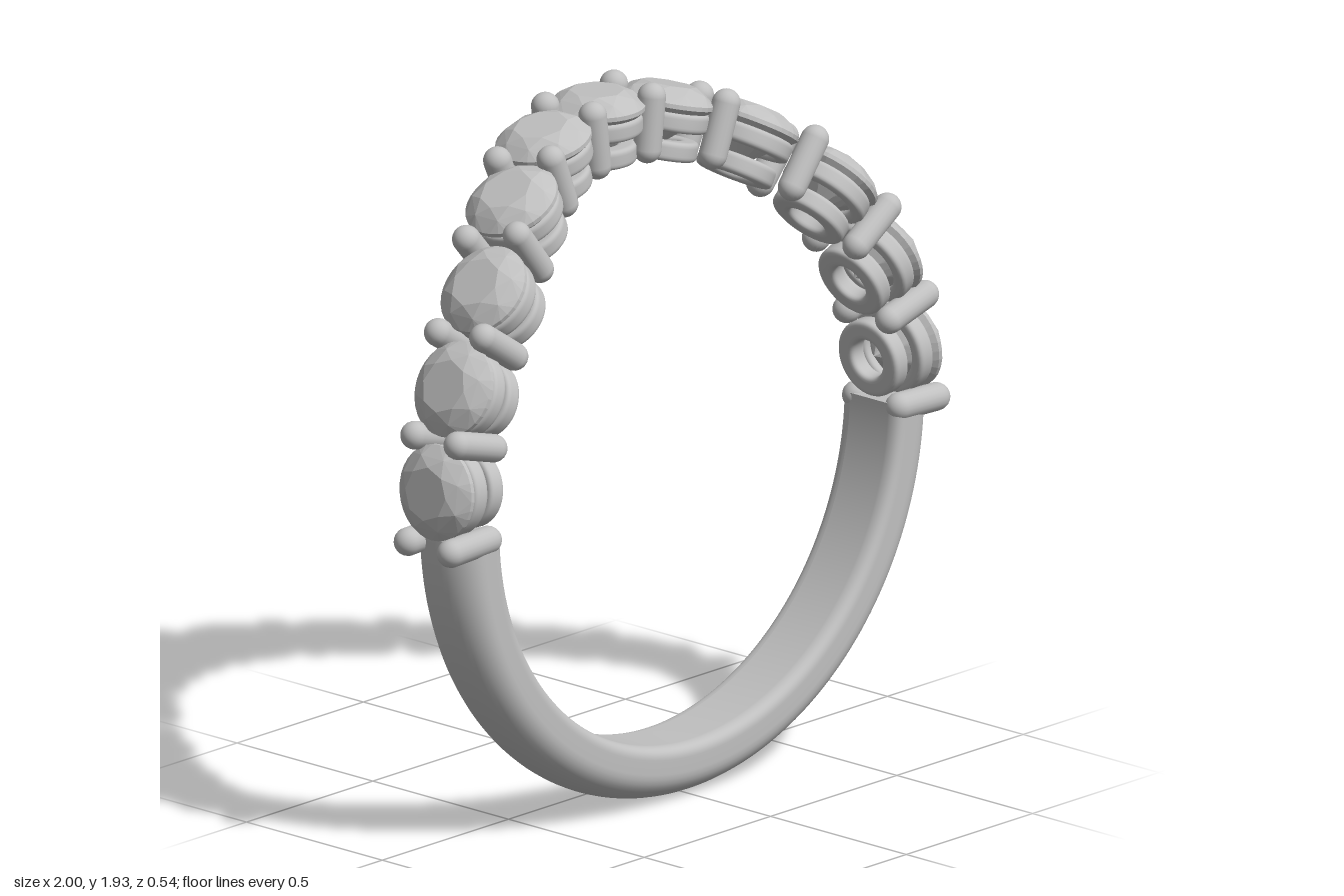
import * as THREE from 'three';
import { ConvexGeometry } from 'three/addons/geometries/ConvexGeometry.js';

const CENTER_Y = 0.94;
const rad = THREE.MathUtils.degToRad;

// Angles from the top of the ring and depths of the stones on one half
const STONES = [[0, -0.14], [15.1, -0.11], [30.7, -0.01], [48.1, 0.09], [65.6, 0.125], [83, 0.133]];
const LAST_PRONG = [92, 0.137];

// Rounded rectangle turned into a flat ring around y
function collarGeometry(inner, outer, height) {
  const h = height / 2, c = 0.016, s = new THREE.Shape();
  s.moveTo(inner + c, -h);
  s.lineTo(outer - c, -h);
  s.quadraticCurveTo(outer, -h, outer, -h + c);
  s.lineTo(outer, h - c);
  s.quadraticCurveTo(outer, h, outer - c, h);
  s.lineTo(inner + c, h);
  s.quadraticCurveTo(inner, h, inner, h - c);
  s.lineTo(inner, -h + c);
  s.quadraticCurveTo(inner, -h, inner + c, -h);
  return new THREE.LatheGeometry(s.getPoints(5), 40);
}

// Brilliant cut: table, crown corners, girdle and point
function stoneGeometry() {
  const pts = [];
  const loop = (n, r, y, shift) => {
    for (let i = 0; i < n; i++) {
      const a = ((i + shift) / n) * Math.PI * 2;
      pts.push(new THREE.Vector3(Math.cos(a) * r, y, Math.sin(a) * r));
    }
  };
  loop(8, 0.074, 0.045, 0);
  loop(8, 0.107, 0.029, 0.5);
  loop(32, 0.132, 0.004, 0);
  loop(32, 0.132, -0.008, 0);
  loop(8, 0.06, -0.075, 0.5);
  pts.push(new THREE.Vector3(0, -0.125, 0));
  return new ConvexGeometry(pts);
}

// Domed band section: x is the distance from the finger axis, y the width
function bandShape() {
  const w = 0.108, s = new THREE.Shape();
  s.moveTo(0.78, -0.07);
  s.quadraticCurveTo(0.782, -w, 0.815, -w);
  s.lineTo(0.855, -w);
  s.bezierCurveTo(0.905, -w, 0.938, -0.055, 0.938, 0);
  s.bezierCurveTo(0.938, 0.055, 0.905, w, 0.855, w);
  s.lineTo(0.815, w);
  s.quadraticCurveTo(0.782, w, 0.78, 0.07);
  s.lineTo(0.78, -0.07);
  return s;
}

export function createModel() {
  const model = new THREE.Group();
  const metal = new THREE.MeshStandardMaterial({ color: 0xc0c0c0, side: THREE.DoubleSide });

  const add = (parent, geometry, name) => {
    const mesh = new THREE.Mesh(geometry, metal);
    mesh.name = name;
    parent.add(mesh);
    return mesh;
  };

  // Plain lower half of the band with closed ends
  const band = new THREE.Group();
  band.name = 'band';
  band.position.set(0, CENTER_Y, 0.137);
  model.add(band);
  const shape = bandShape();
  const half = rad(89);
  const hoop = new THREE.LatheGeometry(shape.getPoints(10), 96, -half, half * 2);
  hoop.rotateX(Math.PI / 2);
  add(band, hoop, 'hoop');
  for (const a of [-half, half]) {
    const cap = new THREE.ShapeGeometry(shape, 10);
    cap.applyMatrix4(new THREE.Matrix4().makeBasis(
      new THREE.Vector3(Math.sin(a), -Math.cos(a), 0),
      new THREE.Vector3(0, 0, 1),
      new THREE.Vector3(-Math.cos(a), -Math.sin(a), 0)));
    add(band, cap, 'bandEnd');
  }

  // A frame whose y axis points straight out of the ring at a given angle
  const radialFrame = (angle, z, name) => {
    const g = new THREE.Group();
    g.name = name;
    g.position.set(0, CENTER_Y, z);
    g.rotation.z = -angle;
    model.add(g);
    return g;
  };

  // Stones, each over two collars
  const stone = stoneGeometry();
  const upper = collarGeometry(0.085, 0.126, 0.055);
  const lower = collarGeometry(0.054, 0.109, 0.055);
  const setStone = (angle, z) => {
    const g = radialFrame(angle, z, 'setting');
    add(g, stone, 'stone').position.y = 0.935;
    add(g, upper, 'upperCollar').position.y = 0.888;
    add(g, lower, 'lowerCollar').position.y = 0.807;
  };

  // Prong pairs across the row, square to its direction
  const prong = new THREE.CapsuleGeometry(0.039, 0.145, 8, 20);
  const setProngs = (angle, z, dAngle, dz) => {
    const run = 0.95 * dAngle, length = Math.hypot(run, dz);
    for (const k of [-0.079, 0.079]) {
      const g = radialFrame(angle - (k * dz) / length / 0.95, z + (k * run) / length, 'prong');
      add(g, prong, 'prongPin').position.y = 0.888;
    }
  };

  for (const side of [-1, 1]) {
    STONES.forEach(([deg, z], i) => {
      if (i > 0 || side > 0) setStone(side * rad(deg), z);
      const next = STONES[i + 1];
      if (next) {
        setProngs(side * rad((deg + next[0]) / 2), (z + next[1]) / 2,
          side * rad(next[0] - deg), next[1] - z);
      } else {
        setProngs(side * rad(LAST_PRONG[0]), LAST_PRONG[1], side, 0);
      }
    });
  }
  return model;
}
